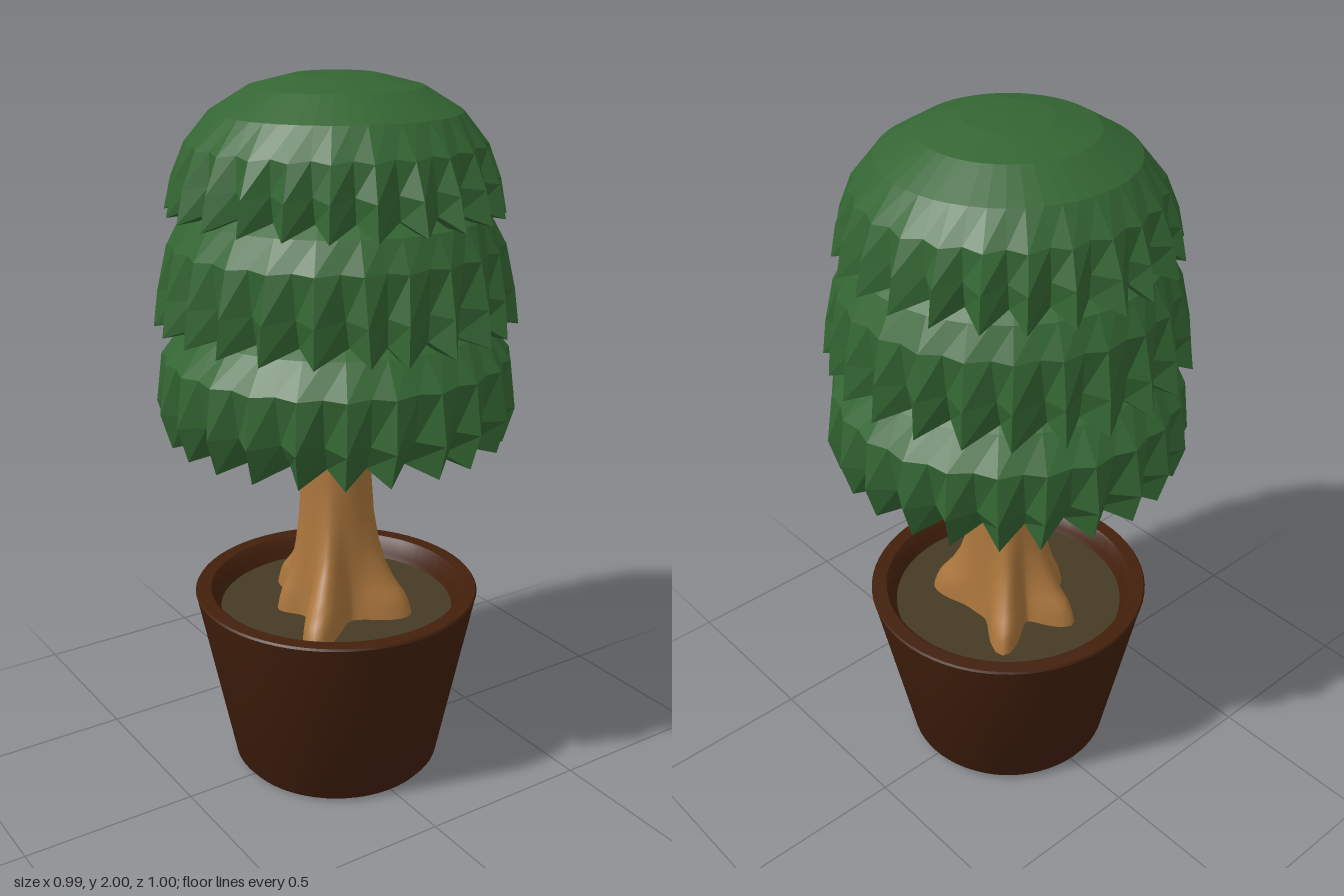
import * as THREE from 'three';
import { toCreasedNormals } from 'three/addons/utils/BufferGeometryUtils.js';

// Skin rows of points, listed top to bottom, around the y axis
function loft(rows, segments, point) {
  const pos = [], index = [];
  rows.forEach((row, i) => {
    for (let j = 0; j < segments; j++) pos.push(...point(row, j));
    if (i === 0) return;
    for (let j = 0; j < segments; j++) {
      const k = (j + 1) % segments;
      const a = (i - 1) * segments + j, b = (i - 1) * segments + k;
      const c = i * segments + j, d = i * segments + k;
      index.push(a, c, b, b, c, d);
    }
  });
  const g = new THREE.BufferGeometry();
  g.setAttribute('position', new THREE.Float32BufferAttribute(pos, 3));
  g.setIndex(index);
  g.computeVertexNormals();
  return g;
}

// Repeatable jitter in -0.5 .. 0.5
function jitter(n) {
  const s = Math.sin(n * 127.1 + 11.7) * 43758.5453;
  return s - Math.floor(s) - 0.5;
}

export function createModel() {
  const model = new THREE.Group();
  const mat = (name, color, flatShading = false) => {
    const m = new THREE.MeshStandardMaterial({ color, flatShading });
    m.name = name;
    return m;
  };
  const leafGreen = mat('leafGreen', 0x346633, true);
  const bark = mat('bark', 0xaa753c);
  const potBrown = mat('potBrown', 0x43200c);
  const soilBrown = mat('soilBrown', 0x463a25);
  const add = (name, geometry, material) => {
    const mesh = new THREE.Mesh(geometry, material);
    mesh.name = name;
    model.add(mesh);
    return mesh;
  };

  // Pot: tapered wall, flat rim and hollow inside
  const potProfile = [
    [0, 0], [0.285, 0], [0.302, 0.02], [0.406, 0.53], [0.409, 0.54], [0.405, 0.546],
    [0.365, 0.546], [0.358, 0.54], [0.345, 0.5], [0.33, 0.47], [0, 0.46],
  ].map(([x, y]) => new THREE.Vector2(x, y));
  add('pot', toCreasedNormals(new THREE.LatheGeometry(potProfile, 64), 0.6), potBrown);

  // Soil
  const soil = add('soil', new THREE.CircleGeometry(0.337, 48), soilBrown);
  soil.rotation.x = -Math.PI / 2;
  soil.position.y = 0.485;

  // Trunk rows: height, radius, extra reach of the roots
  const trunkRows = [
    [1.12, 0.1, 0], [1.0, 0.1, 0], [0.88, 0.1, 0.002], [0.78, 0.104, 0.01],
    [0.7, 0.109, 0.028], [0.64, 0.113, 0.052], [0.59, 0.117, 0.088],
    [0.565, 0.119, 0.115], [0.545, 0.121, 0.137], [0.52, 0.124, 0.15],
    [0.495, 0.127, 0.157], [0.47, 0.13, 0.162],
  ];
  // Roots: direction in degrees from +x towards +z, length, half width
  const roots = [[135, 1.18, 0.27], [55, 0.65, 0.42], [-45, 0.92, 0.27], [-102, 0.68, 0.33], [198, 0.3, 0.3]];
  add('trunk', loft(trunkRows, 72, ([y, r, reach], j) => {
    const a = -(j / 72) * Math.PI * 2;
    let lobe = 0;
    for (const [deg, length, width] of roots) {
      const d = a - deg * Math.PI / 180;
      const near = Math.atan2(Math.sin(d), Math.cos(d)) / width;
      lobe = Math.max(lobe, length * Math.exp(-near * near));
    }
    const radius = r + reach * lobe;
    return [Math.cos(a) * radius, y, Math.sin(a) * radius];
  }), bark);

  // Leaf tiers, rows: height, radius, depth of folds, drop of the points
  const tiers = {
    bottomLeaves: [
      [1.42, 0.3, 0, 0], [1.34, 0.41, 0, 0], [1.26, 0.478, 0.012, 0.006],
      [1.13, 0.495, 0.045, 0.012], [1.055, 0.465, 0.07, 0.036], [1.065, 0, 0, 0],
    ],
    middleLeaves: [
      [1.72, 0.3, 0, 0], [1.64, 0.405, 0, 0], [1.565, 0.452, 0.012, 0.006],
      [1.45, 0.478, 0.045, 0.012], [1.375, 0.49, 0.07, 0.036], [1.38, 0, 0, 0],
    ],
    topLeaves: [
      [2, 0, 0, 0], [1.991, 0.115, 0, 0], [1.962, 0.23, 0, 0], [1.9, 0.332, 0, 0],
      [1.825, 0.4, 0.014, 0.008], [1.74, 0.436, 0.042, 0.012], [1.675, 0.455, 0.066, 0.036],
      [1.68, 0, 0, 0],
    ],
  };
  const points = 24;
  Object.entries(tiers).forEach(([name, rows], t) => {
    add(name, loft(rows, points * 2, ([y, r, depth, drop], j) => {
      const tip = j % 2 === 0;
      const wobble = jitter(j + t * 60);
      // Folds lean sideways more where they are deeper
      const skew = depth * (0.9 * wobble + (tip ? 0 : 0.5));
      const a = (j + t * 0.66) / (points * 2) * Math.PI * 2 + skew;
      const radius = Math.max(0, r - (tip ? 0 : depth) + depth * 0.2 * wobble);
      const height = y - (tip ? drop : 0) + drop * 0.3 * wobble;
      return [Math.sin(a) * radius, height, Math.cos(a) * radius];
    }), leafGreen);
  });

  return model;
}
